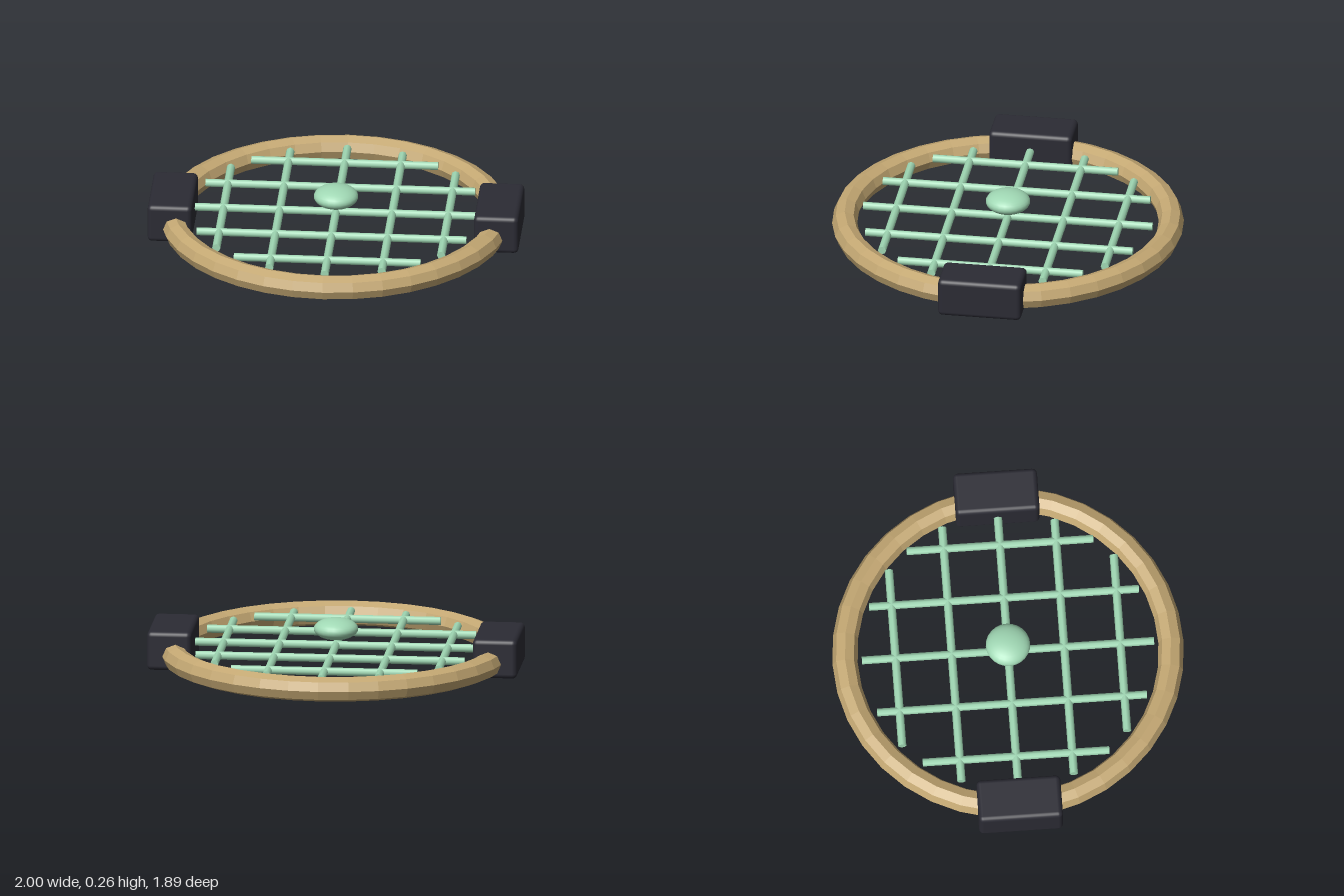
import * as THREE from 'three';
import { RoundedBoxGeometry } from 'three/addons/geometries/RoundedBoxGeometry.js';

const mat = (name, color, flatShading = false) => {
  const m = new THREE.MeshStandardMaterial({ color, flatShading });
  m.name = name;
  return m;
};

export function createModel() {
  const group = new THREE.Group();
  const wood = mat('tan wood', 0xc4a873, true);
  const green = mat('pale green', 0xa0d8b4);
  const dark = mat('dark charcoal', 0x2b2b34);

  const add = (name, geometry, material, x, y, z) => {
    const mesh = new THREE.Mesh(geometry, material);
    mesh.name = name;
    mesh.position.set(x, y, z);
    group.add(mesh);
    return mesh;
  };

  // Faceted hoop lying flat
  const hoop = new THREE.TorusGeometry(0.878, 0.068, 8, 36).rotateX(Math.PI / 2);
  add('hoop', hoop, wood, 0, 0.079, 0);

  // Crossed lattice bars, shorter towards the rim
  const halfLengths = [0.787, 0.727, 0.503];
  for (let i = -2; i <= 2; i++) {
    const length = 2 * halfLengths[Math.abs(i)];
    const offset = i * 0.303;
    const bar = new THREE.CylinderGeometry(0.0225, 0.0225, length, 8);
    add('lengthBar', bar, green, offset, 0.112, 0).rotation.x = Math.PI / 2;
    add('crossBar', bar, green, 0, 0.112, offset).rotation.z = Math.PI / 2;
  }

  // Flattened bead above the centre
  const bead = new THREE.SphereGeometry(0.12, 24, 16).scale(1, 0.48, 1);
  add('centreBead', bead, green, 0, 0.203, 0);

  // Rounded blocks gripping the hoop on both sides
  const block = new RoundedBoxGeometry(0.24, 0.213, 0.452, 3, 0.026);
  add('leftBlock', block, dark, 0.88, 0.1065, 0);
  add('rightBlock', block, dark, -0.88, 0.1065, 0);

  return group;
}
